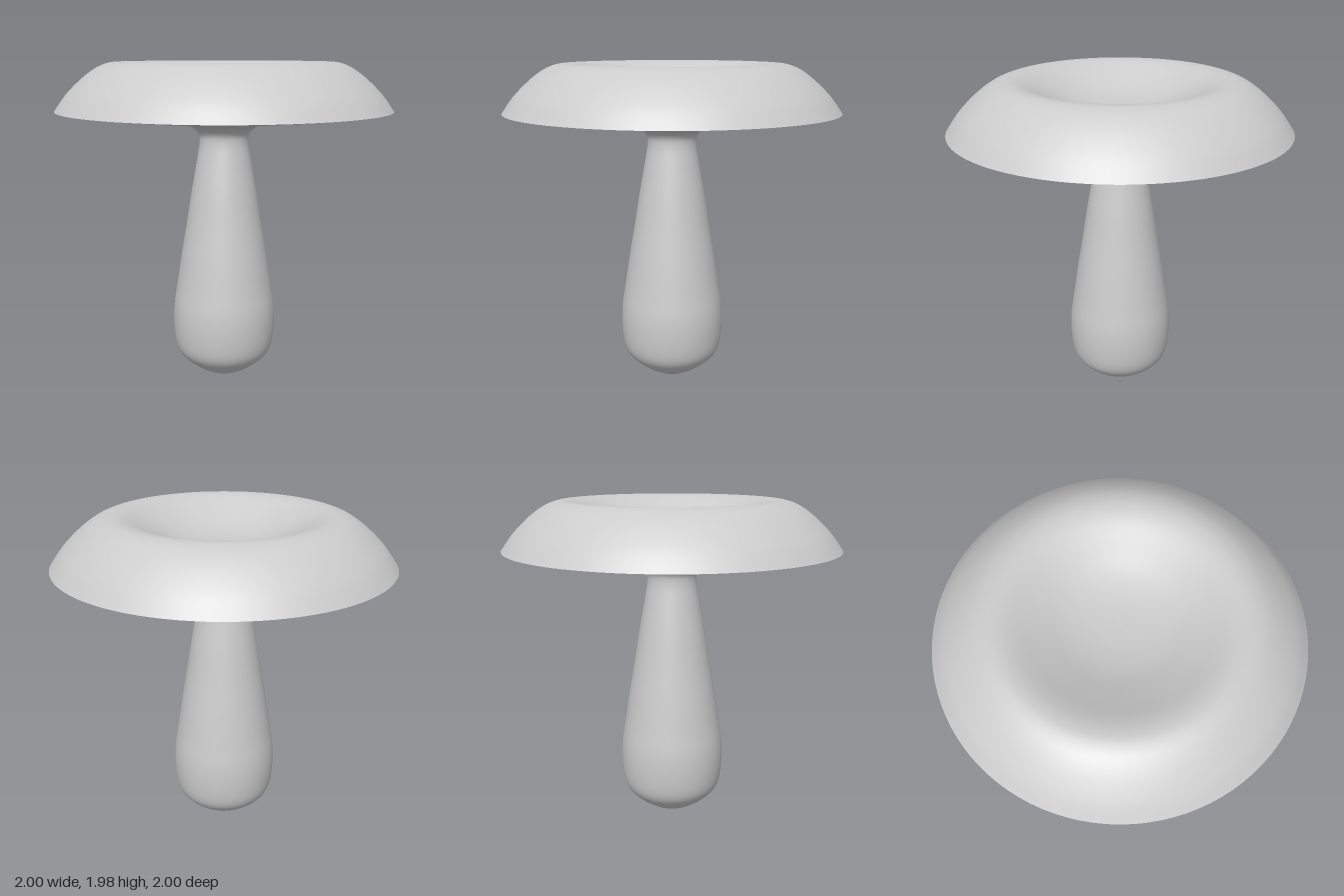
import * as THREE from 'three';

// Smooth surface of revolution through a few [radius, height] points, listed bottom to top
function turned(name, points, steps) {
  const curve = new THREE.SplineCurve(points.map(([r, y]) => new THREE.Vector2(r, y)));
  const profile = curve.getPoints(steps);
  profile.forEach((p) => { p.x = Math.max(p.x, 0); });
  const mesh = new THREE.Mesh(
    new THREE.LatheGeometry(profile, 96),
    new THREE.MeshStandardMaterial({ color: 0xcccccc, side: THREE.DoubleSide }),
  );
  mesh.name = name;
  return mesh;
}

export function createModel() {
  const model = new THREE.Group();
  model.name = 'mushroom';

  // Bulbous stem flaring into the underside of the cap
  model.add(turned('stemAndUnderside', [
    [0, 0.003], [0.08, 0.018], [0.16, 0.058], [0.235, 0.112], [0.285, 0.165], [0.31, 0.235],
    [0.32, 0.35], [0.316, 0.47], [0.297, 0.6], [0.266, 0.8], [0.232, 1.0],
    [0.2, 1.2], [0.168, 1.38], [0.149, 1.5], [0.158, 1.56], [0.21, 1.602],
    [0.33, 1.636], [0.6, 1.656], [0.8, 1.676], [1, 1.7],
  ], 100));

  // Domed cap with a shallow dish in the crown
  model.add(turned('cap', [
    [1, 1.7], [0.93, 1.795], [0.84, 1.883], [0.76, 1.942], [0.695, 1.971], [0.63, 1.98],
    [0.55, 1.964], [0.42, 1.91], [0.28, 1.857], [0.14, 1.829], [0, 1.822],
  ], 60));

  return model;
}
